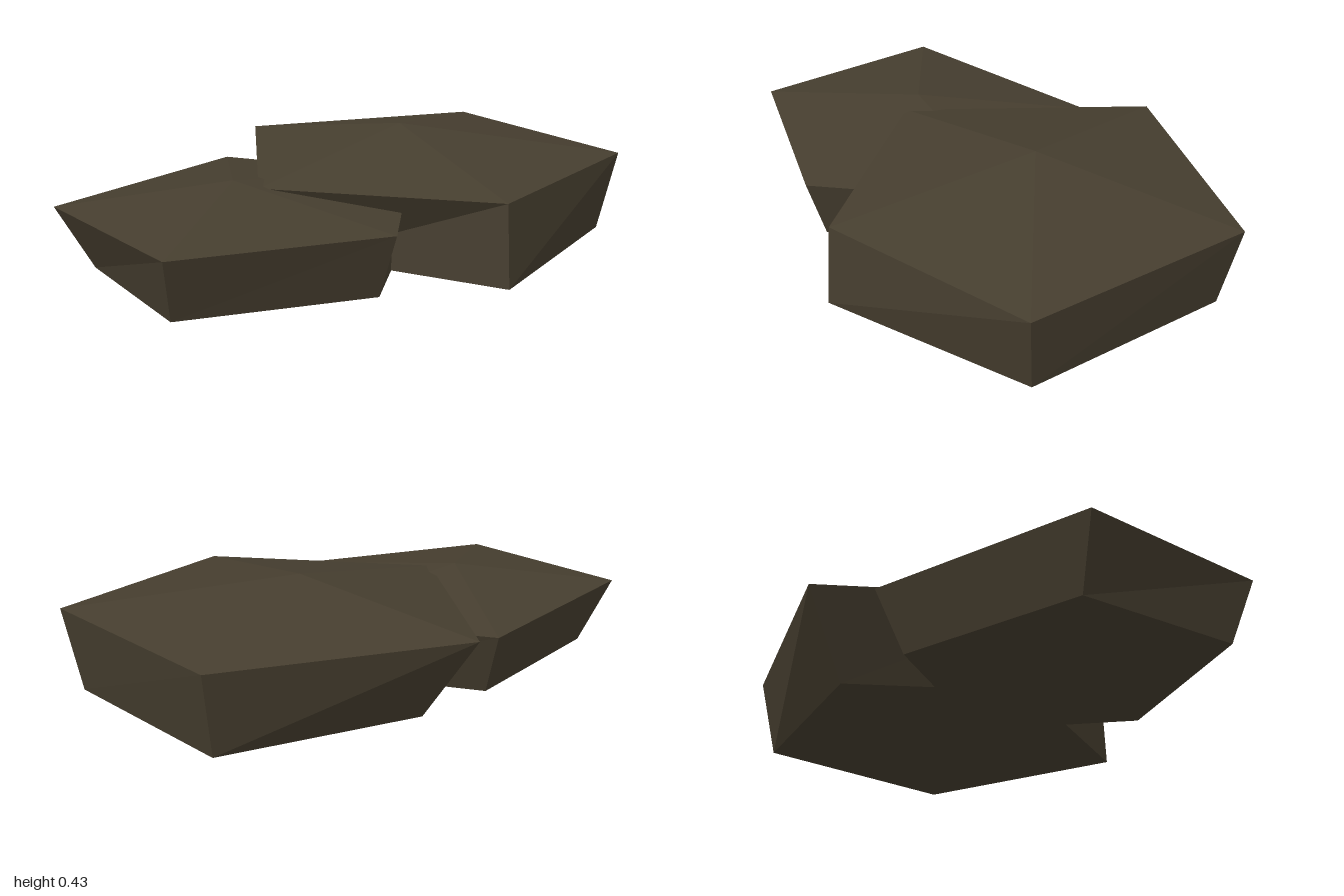
import * as THREE from 'three';

const stone = new THREE.MeshStandardMaterial({ color: 0x463e2f, flatShading: true });
stone.name = 'dark stone';

// Five-sided slab: base ring on the ground, rim ring at a height, shallow peak on top.
// Rings hold [x, z] corners, counter-clockwise seen from above.
function slab(name, base, rim, rimHeight, peak) {
  const b = base.map(([x, z]) => [x, 0, z]);
  const t = rim.map(([x, z]) => [x, rimHeight, z]);
  const n = b.length;
  const centre = [0, 1, 2].map(k => b.reduce((sum, p) => sum + p[k], 0) / n);
  const points = [];
  for (let i = 0; i < n; i++) {
    const j = (i + 1) % n;
    points.push(b[i], b[j], t[j], b[i], t[j], t[i]); // side
    points.push(t[i], t[j], peak); // sloping top
    points.push(b[j], b[i], centre); // underside
  }
  const geometry = new THREE.BufferGeometry();
  geometry.setAttribute('position', new THREE.Float32BufferAttribute(points.flat(), 3));
  geometry.computeVertexNormals();
  const mesh = new THREE.Mesh(geometry, stone);
  mesh.name = name;
  return mesh;
}

export function createModel() {
  const group = new THREE.Group();
  group.name = 'flatRocks';
  group.add(
    slab('largeRock',
      [[0.94, -0.37], [0.18, -0.55], [-0.2, 0.02], [0.155, 0.755], [0.94, 0.45]],
      [[1, -0.41], [0.11, -0.75], [-0.42, 0.05], [0.155, 0.735], [0.99, 0.5]],
      0.31, [0.31, 0.43, -0.035]),
    slab('smallRock',
      [[0.22, 0.11], [-0.165, -0.52], [-0.88, -0.345], [-0.94, 0.29], [-0.25, 0.53]],
      [[0.3, 0.04], [-0.12, -0.62], [-1, -0.41], [-1, 0.355], [-0.24, 0.61]],
      0.24, [-0.47, 0.33, -0.04]),
  );
  return group;
}
